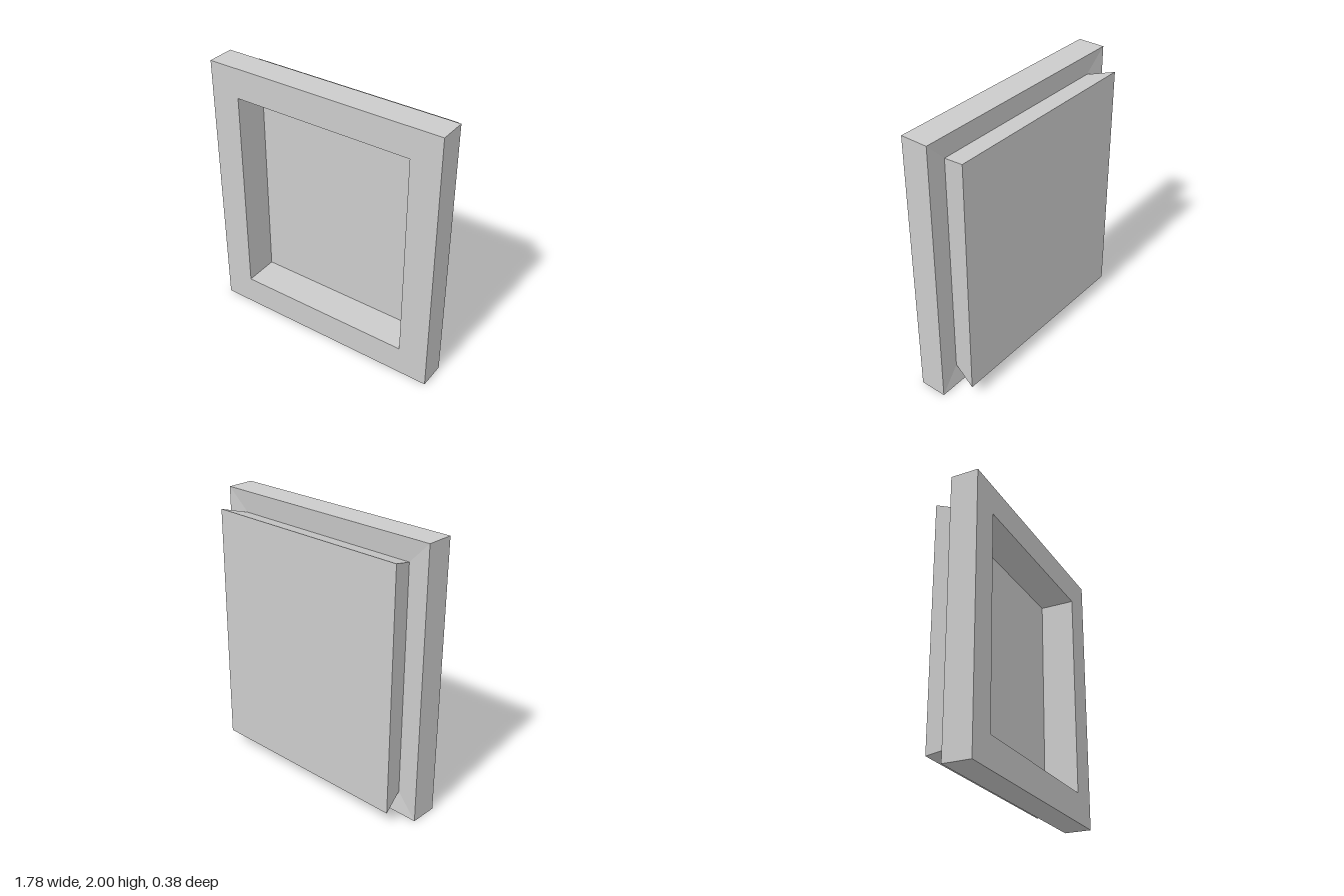
import * as THREE from 'three';

// Skin a series of rectangles [halfWidth, halfHeight, z] with flat-shaded faces
function skinRectangles(rings) {
  const corners = rings.map(([w, h, z]) => [[w, -h, z], [w, h, z], [-w, h, z], [-w, -h, z]]);
  const positions = [];
  for (let r = 0; r < rings.length - 1; r++) {
    const a = corners[r], b = corners[r + 1];
    for (let i = 0; i < 4; i++) {
      const j = (i + 1) % 4;
      positions.push(...a[i], ...b[i], ...b[j], ...a[i], ...b[j], ...a[j]);
    }
  }
  const geometry = new THREE.BufferGeometry();
  geometry.setAttribute('position', new THREE.Float32BufferAttribute(positions, 3));
  geometry.computeVertexNormals();
  return geometry;
}

export function createModel() {
  const group = new THREE.Group();
  const material = new THREE.MeshStandardMaterial({ color: 0xcccccc });
  const add = (name, geometry) => {
    const mesh = new THREE.Mesh(geometry, material);
    mesh.name = name;
    mesh.position.y = 1; // rectangles are centred on the frame's middle
    group.add(mesh);
    return mesh;
  };

  const opening = [0.67, 0.78];
  const outer = [0.89, 1];
  const base = [0.73, 0.84, 0.005];
  const back = [0.785, 0.895, -0.188];
  const panelZ = -0.07;

  // Frame: opening walls, front face, outer sides and slightly dished rear face
  add('frame', skinRectangles([
    [...opening, panelZ], [...opening, 0.188], [...outer, 0.188], [...outer, -0.013], base,
  ]));

  // Panel at the bottom of the front opening
  add('innerPanel', new THREE.PlaneGeometry(opening[0] * 2, opening[1] * 2)).position.z = panelZ;

  // Rear block flaring out towards the back
  add('backBlockSides', skinRectangles([base, back]));
  const cap = add('backBlockFace', new THREE.PlaneGeometry(back[0] * 2, back[1] * 2));
  cap.position.z = back[2];
  cap.rotation.y = Math.PI;

  return group;
}
